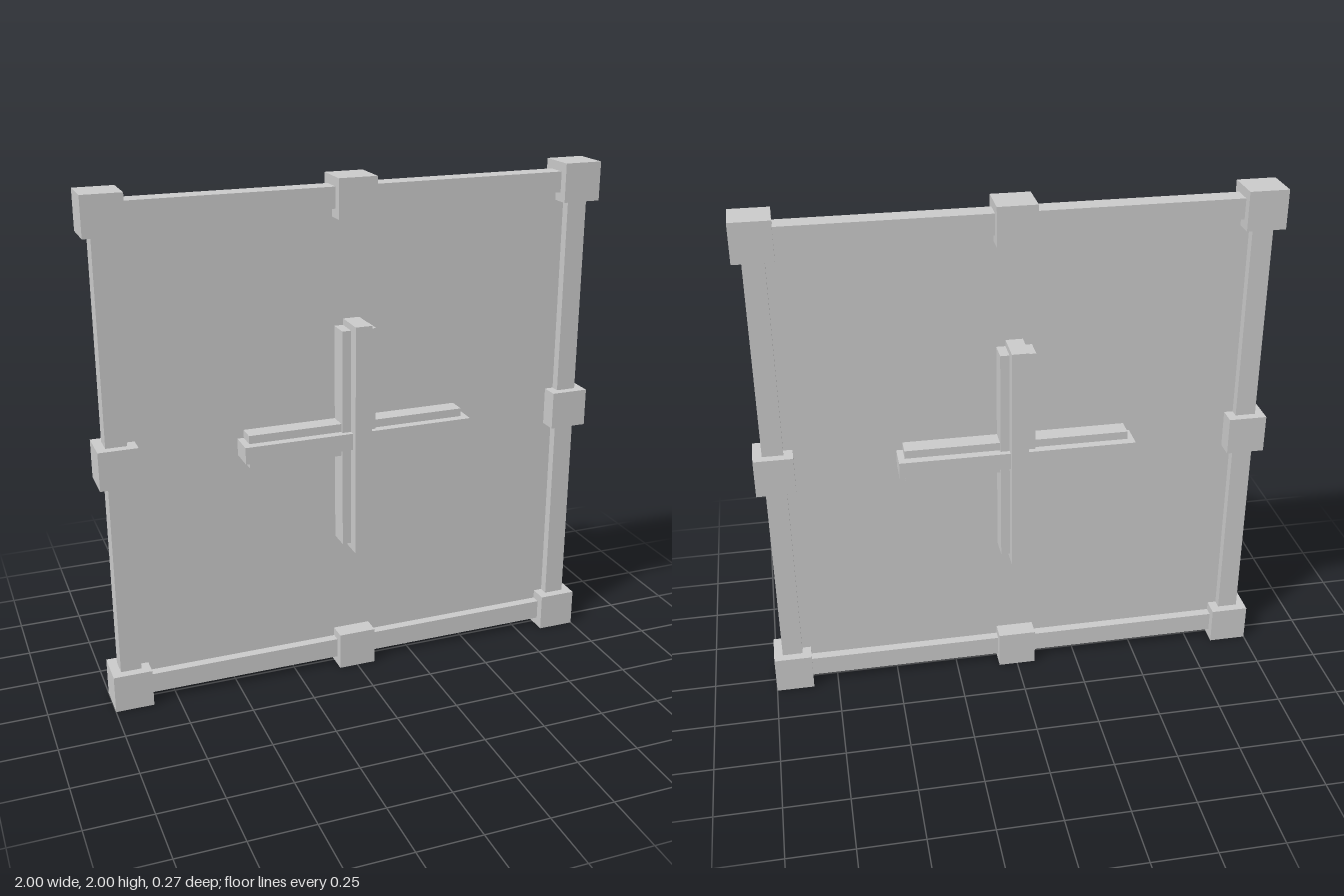
import * as THREE from 'three';

const material = new THREE.MeshStandardMaterial({ color: 0xcccccc, flatShading: true });

export function createModel() {
  const model = new THREE.Group();

  function addBox(name, [w, h, d], x = 0, y = 1) {
    const mesh = new THREE.Mesh(new THREE.BoxGeometry(w, h, d), material);
    mesh.name = name;
    mesh.position.set(x, y, 0);
    model.add(mesh);
  }

  const reach = 0.925; // centre line of the frame
  const rail = 0.08;
  const block = 0.15;

  // Thin panel recessed inside the frame
  addBox('panel', [2 * reach, 2 * reach, 0.006]);

  // Frame rails
  for (const s of [-1, 1]) {
    addBox(s > 0 ? 'topRail' : 'bottomRail', [2 * reach, rail, rail], 0, 1 + s * reach);
    addBox(s > 0 ? 'leftRail' : 'rightRail', [rail, 2 * reach, rail], s * reach, 1);
  }

  // Blocks at the corners and the middle of each side
  for (const i of [-1, 0, 1]) {
    for (const j of [-1, 0, 1]) {
      if (i === 0 && j === 0) continue;
      addBox(i && j ? 'cornerBlock' : 'middleBlock', [block, block, block], i * reach, 1 + j * reach);
    }
  }

  // Stepped cross, standing out equally on both faces
  addBox('crossBarBase', [0.87, 0.13, 0.15]);
  addBox('crossBarRidge', [0.92, 0.066, 0.22]);
  addBox('crossPostBase', [0.136, 0.87, 0.176]);
  addBox('crossPostRidge', [0.066, 0.92, 0.274]);

  return model;
}
